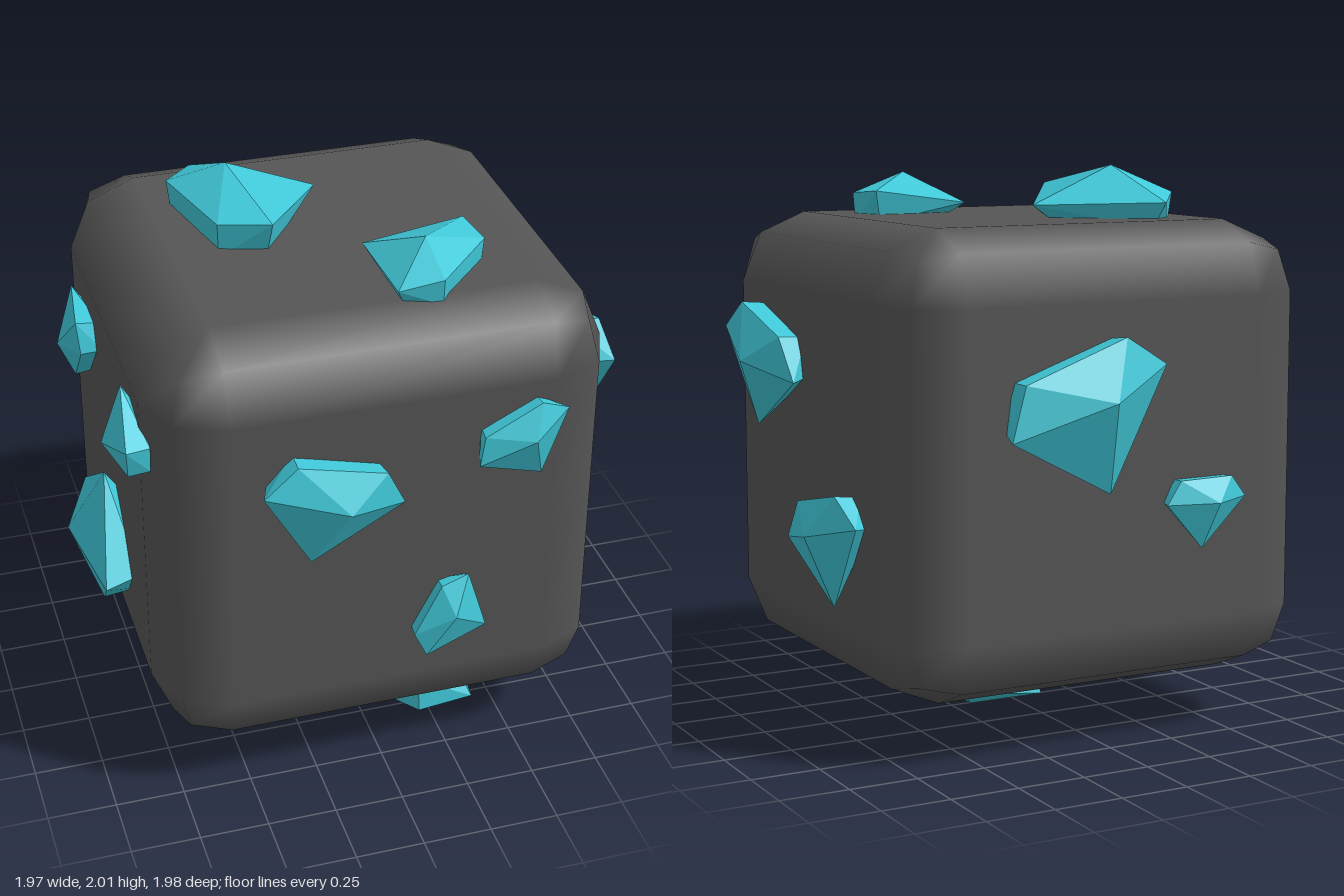
import * as THREE from 'three';
import { RoundedBoxGeometry } from 'three/addons/geometries/RoundedBoxGeometry.js';
import { ConvexGeometry } from 'three/addons/geometries/ConvexGeometry.js';

const HALF = 0.82; // half the side of the block

// One irregular five-sided gem: peak, girdle, and a narrower root sunk in the block.
// x and y lie in the face of the block, z points out of it; the long tip points to -y.
function gemGeometry() {
  const peak = [0.041, 0.005, 0.147];
  const girdle = [
    [-0.251, -0.044, 0.087],
    [-0.182, 0.094, 0.075],
    [0.135, 0.154, 0.07],
    [0.258, 0.053, 0.046],
    [0.041, -0.257, 0.037],
  ];
  const taper = [0.84, 0.95, 0.93, 0.8, 0.58];
  const root = girdle.map(([x, y], i) => [x * taper[i], y * taper[i], -0.03]);
  return new ConvexGeometry([peak, ...girdle, ...root].map((p) => new THREE.Vector3(...p)));
}

// Gems on each face: across, up, turn in degrees, size
const FACES = [
  { name: 'front', turn: [0, 0], gems: [[-0.235, 0.27, -25, 1], [0.439, 0.389, 16, 0.7], [0.189, -0.31, 52, 0.66]] },
  { name: 'left', turn: [0, 90], gems: [[-0.246, 0.327, -27, 1.09], [0.293, -0.244, 1, 0.99]] },
  { name: 'back', turn: [0, 180], gems: [[-0.164, 0.236, 9, 1.28], [0.327, -0.139, -10, 0.65]] },
  { name: 'right', turn: [0, -90], gems: [[0.037, -0.299, 160, 1.17], [-0.305, 0.333, -144, 0.78], [0.49, 0.378, 190, 0.75]] },
  { name: 'top', turn: [-90, 0], gems: [[-0.3, 0.175, 92, 1.265], [0.249, -0.406, -144, 1.01]] },
  { name: 'bottom', turn: [90, 0], gems: [[0.173, 0.388, 42, 1.27], [0.23, -0.221, 31, 0.9], [-0.41, 0.17, 28, 0.78]] },
];

export function createModel() {
  const model = new THREE.Group();
  model.name = 'gemOreBlock';
  const rad = THREE.MathUtils.degToRad;

  const body = new THREE.Group();
  body.name = 'body';
  body.position.set(0.003, 1.007, 0.02);
  model.add(body);

  // Stone block with softly bevelled edges
  const stone = new THREE.Mesh(
    new RoundedBoxGeometry(HALF * 2, HALF * 2, HALF * 2, 1, 0.25),
    new THREE.MeshStandardMaterial({ color: 0x555555 })
  );
  stone.name = 'stoneBlock';
  body.add(stone);

  // Gems set into every face
  const geometry = gemGeometry();
  const material = new THREE.MeshStandardMaterial({ color: 0x40c8d8, flatShading: true });
  for (const { name, turn, gems } of FACES) {
    const face = new THREE.Group();
    face.name = `${name}Gems`;
    face.rotation.set(rad(turn[0]), rad(turn[1]), 0);
    gems.forEach(([x, y, angle, size], i) => {
      const gem = new THREE.Mesh(geometry, material);
      gem.name = `${name}Gem${i + 1}`;
      gem.position.set(x, y, HALF);
      gem.rotation.z = rad(angle);
      gem.scale.setScalar(size);
      face.add(gem);
    });
    body.add(face);
  }
  return model;
}
